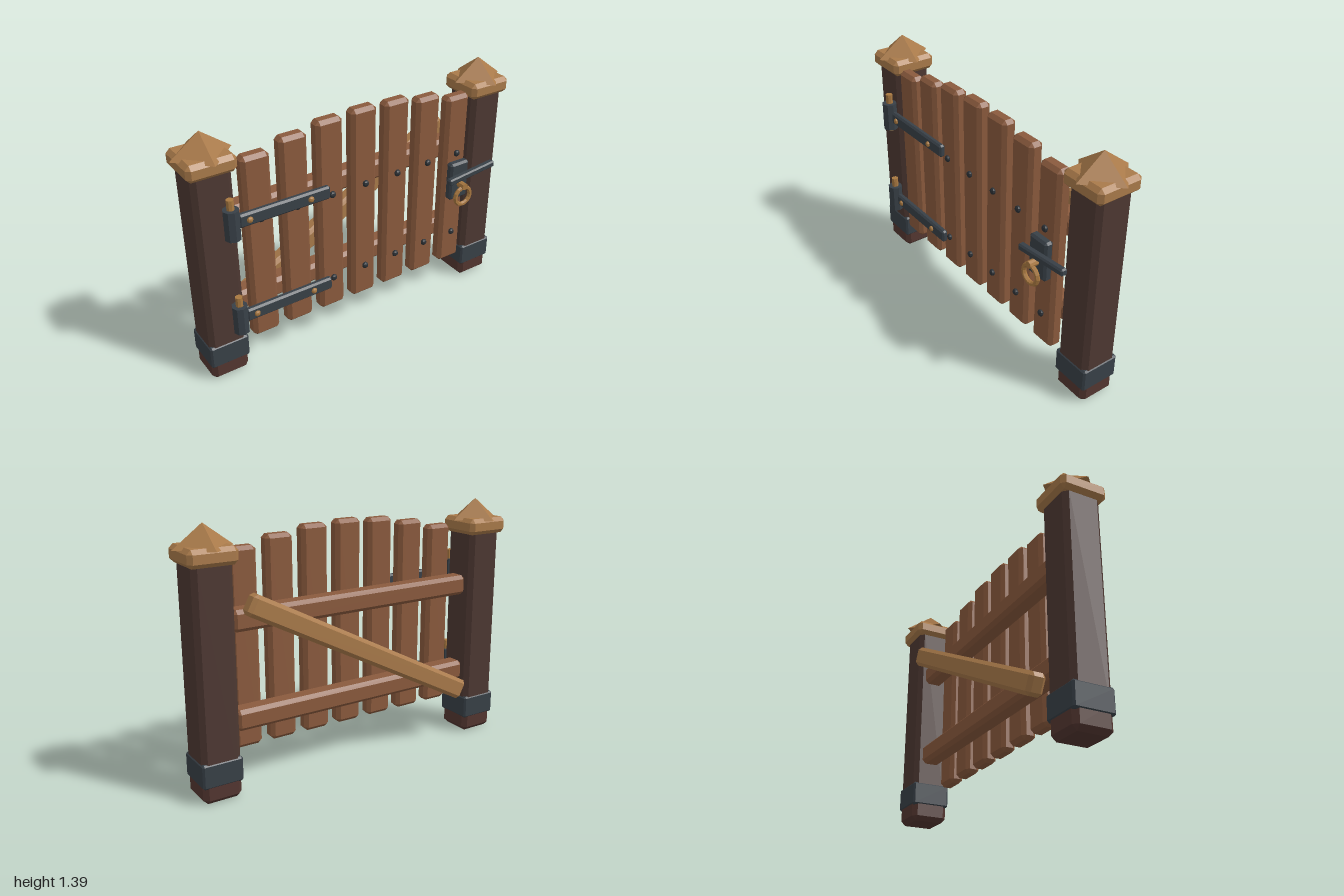
import * as THREE from 'three';
import { ConvexGeometry } from 'three/addons/geometries/ConvexGeometry.js';

const mat = (name, color) => {
  const m = new THREE.MeshStandardMaterial({ color, flatShading: true });
  m.name = name;
  return m;
};

// Box with chamfered edges: hull of three slightly inset face rectangles per corner
function chamferBox(w, h, d, b) {
  const pts = [];
  for (const sx of [-1, 1]) for (const sy of [-1, 1]) for (const sz of [-1, 1]) {
    const x = w / 2, y = h / 2, z = d / 2;
    for (const [px, py, pz] of [[x, y - b, z - b], [x - b, y, z - b], [x - b, y - b, z]]) {
      pts.push(new THREE.Vector3(sx * px, sy * py, sz * pz));
    }
  }
  return new ConvexGeometry(pts);
}

export function createModel() {
  const postWood = mat('dark post wood', 0x4d3832);
  const footWood = mat('reddish foot wood', 0x533630);
  const plankWood = mat('plank wood', 0x8a5a3d);
  const paleWood = mat('pale wood', 0xa97a4a);
  const iron = mat('dark iron', 0x384047);
  const boltIron = mat('bolt iron', 0x2c3136);
  const brass = mat('brass', 0xa87840);

  const gate = new THREE.Group();
  gate.name = 'gate';

  const add = (name, geo, material, x, y, z, parent = gate) => {
    const mesh = new THREE.Mesh(geo, material);
    mesh.name = name;
    mesh.position.set(x, y, z);
    parent.add(mesh);
    return mesh;
  };
  // Chamfered box given by its lower and upper limits
  const block = (name, material, [x0, x1], [y0, y1], [z0, z1], b, parent = gate) =>
    add(name, chamferBox(x1 - x0, y1 - y0, z1 - z0, b), material,
      (x0 + x1) / 2, (y0 + y1) / 2, (z0 + z1) / 2, parent);

  // Posts with iron bands and pyramid caps
  for (const side of [-1, 1]) {
    const post = new THREE.Group();
    post.name = side < 0 ? 'rightPost' : 'leftPost';
    post.position.set(side * 0.843, 0, -0.029);
    gate.add(post);
    const r = 0.105;
    block('postFoot', footWood, [-r, r], [0, 0.16], [-r, r], 0.025, post);
    block('postShaft', postWood, [-r, r], [0.12, 1.24], [-r, r], 0.025, post);
    block('postBand', iron, [-0.11, 0.11], [0.09, 0.223], [-0.11, 0.11], 0.01, post);
    block('capBlock', paleWood, [-0.129, 0.129], [1.2, 1.29], [-0.129, 0.129], 0.022, post);
    add('capPyramid', new THREE.ConeGeometry(0.157, 0.117, 4), paleWood, 0, 1.3335, 0, post);
  }

  // Upright planks with an arched top line, each with two bolts
  const tops = [1.335, 1.326, 1.295, 1.252];
  const boltGeo = new THREE.SphereGeometry(0.019, 8, 6);
  for (let i = -3; i <= 3; i++) {
    const x = i * 0.207;
    block('plank', plankWood, [x - 0.077, x + 0.077], [0.193, tops[Math.abs(i)]], [0.008, 0.089], 0.02);
    for (const y of [0.39, 0.91]) {
      add('plankBolt', boltGeo, boltIron, x, y, 0.096).scale.z = 0.75;
    }
  }

  // Two rails and the diagonal brace behind the planks
  for (const y of [0.39, 0.908]) {
    block('rail', plankWood, [-0.735, 0.735], [y - 0.056, y + 0.056], [-0.1, 0.01], 0.02);
  }
  add('brace', chamferBox(1.53, 0.115, 0.09, 0.02), paleWood, 0, 0.65, -0.143).rotation.z = 0.485;

  // Strap hinges: barrel, pin, strap and two brass rivets
  for (const y of [0.38, 0.945]) {
    const hinge = new THREE.Group();
    hinge.name = 'hinge';
    hinge.position.y = y;
    gate.add(hinge);
    add('hingeBarrel', new THREE.CylinderGeometry(0.042, 0.042, 0.162, 8), iron, -0.785, 0, 0.115, hinge);
    add('hingePin', new THREE.CylinderGeometry(0.02, 0.02, 0.23, 8), brass, -0.785, 0.02, 0.114, hinge);
    block('hingeStrap', iron, [-0.75, -0.235], [-0.037, 0.037], [0.09, 0.126], 0.01, hinge);
    for (const x of [-0.695, -0.353]) {
      add('strapRivet', new THREE.SphereGeometry(0.017, 8, 6), brass, x, 0, 0.128, hinge).scale.z = 0.75;
    }
  }

  // Latch: plate, tilted bar and ring pull
  const latch = new THREE.Group();
  latch.name = 'latch';
  gate.add(latch);
  block('latchPlate', iron, [0.556, 0.684], [0.638, 0.868], [0.088, 0.138], 0.012, latch);
  add('latchBar', chamferBox(0.328, 0.038, 0.038, 0.008), iron, 0.682, 0.796, 0.158, latch).rotation.z = 0.105;
  add('ringMount', new THREE.CylinderGeometry(0.02, 0.02, 0.06, 8), brass, 0.62, 0.735, 0.16, latch).rotation.x = Math.PI / 2;
  add('ringPull', new THREE.TorusGeometry(0.053, 0.013, 6, 14), brass, 0.62, 0.672, 0.172, latch);

  return gate;
}
